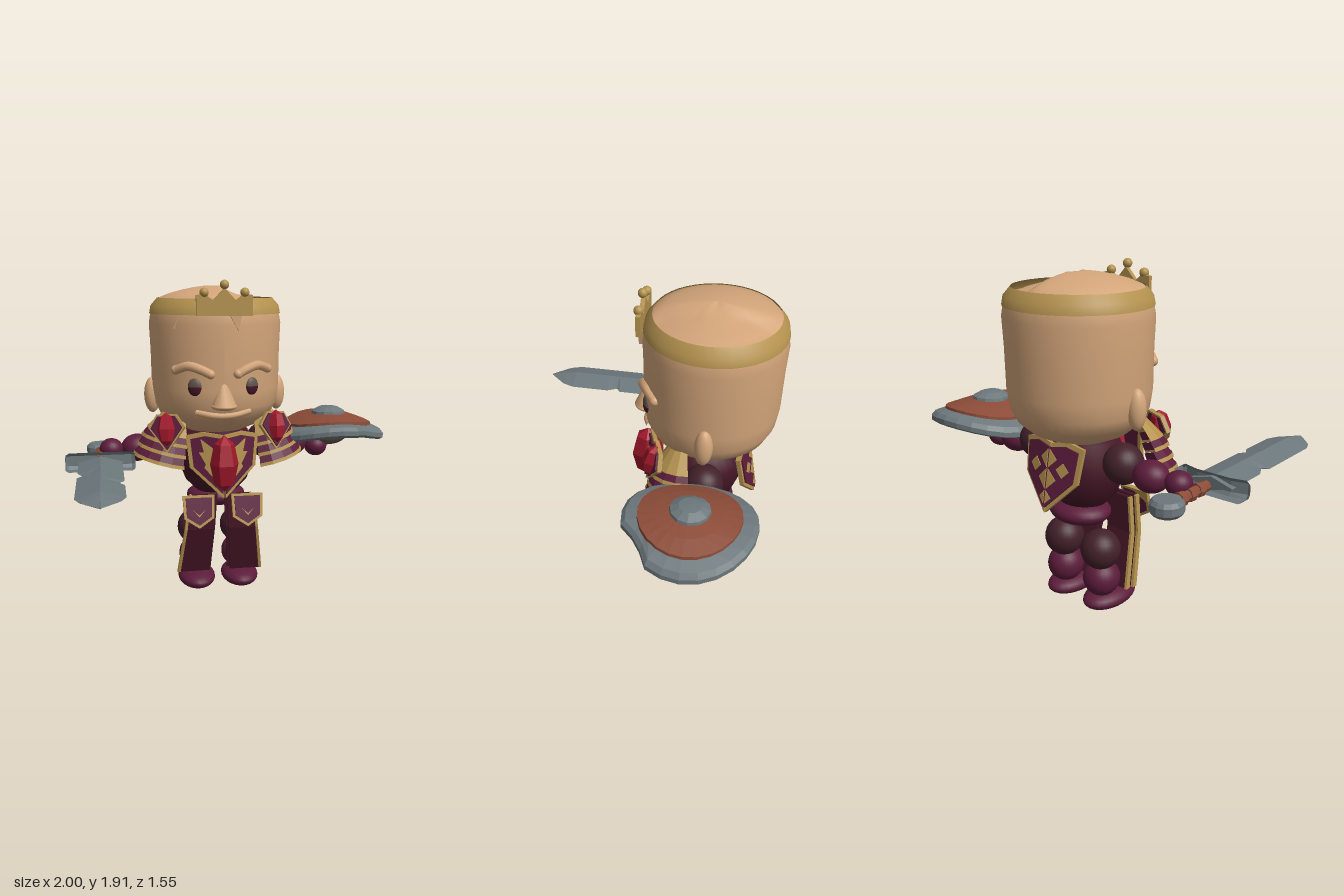
import * as THREE from 'three';

const mat = (name, color) => {
  const m = new THREE.MeshStandardMaterial({ color });
  m.name = name;
  return m;
};

export function createModel() {
  const skin = mat('skin', 0xd3a57a), gold = mat('gold', 0xb4924f), plum = mat('plum cloth', 0x5c1c3b),
    wine = mat('dark wine', 0x451626), umber = mat('umber cloth', 0x42202a), ruby = mat('ruby', 0xa3182c),
    steel = mat('steel', 0x6d787c), leather = mat('leather', 0x8c4c38), taupe = mat('taupe', 0x5f5148);

  const root = new THREE.Group();
  root.name = 'knight';
  const body = new THREE.Group();
  body.name = 'body';
  body.position.x = -0.08;
  root.add(body);

  const add = (parent, name, geo, material, x = 0, y = 0, z = 0) => {
    const m = new THREE.Mesh(geo, material);
    m.name = name;
    m.position.set(x, y, z);
    parent.add(m);
    return m;
  };
  const group = (parent, name, x, y, z) => {
    const g = new THREE.Group();
    g.name = name;
    g.position.set(x, y, z);
    parent.add(g);
    return g;
  };
  const flat = (g) => {
    const f = g.index ? g.toNonIndexed() : g;
    f.computeVertexNormals();
    return f;
  };
  const ball = (parent, name, m, x, y, z, rx, ry = rx, rz = rx) =>
    add(parent, name, new THREE.SphereGeometry(1, 24, 16).scale(rx, ry, rz), m, x, y, z);
  const lathe = (pts, seg = 32) => new THREE.LatheGeometry(pts.map((p) => new THREE.Vector2(...p)), seg);
  const slab = (pts, depth) => new THREE.ExtrudeGeometry(
    new THREE.Shape(pts.map((p) => new THREE.Vector2(...p))), { depth, bevelEnabled: false });
  const tube = (pts, r) => new THREE.TubeGeometry(
    new THREE.CatmullRomCurve3(pts.map((p) => new THREE.Vector3(...p))), 16, r, 8);
  const gem = (parent, x, y, z, a, b, c) =>
    add(parent, 'gem', flat(new THREE.SphereGeometry(1, 6, 4).scale(a, b, c)), ruby, x, y, z);

  // Joins equal-length section loops into a closed, flat-shaded solid
  const loft = (sections) => {
    const n = sections[0].length, idx = [], last = (sections.length - 1) * n;
    for (let i = 0; i < sections.length - 1; i++) for (let j = 0; j < n; j++) {
      const a = i * n + j, b = i * n + (j + 1) % n;
      idx.push(a, b, b + n, a, b + n, a + n);
    }
    for (let j = 1; j < n - 1; j++) idx.push(0, j + 1, j, last, last + j, last + j + 1);
    const g = new THREE.BufferGeometry();
    g.setAttribute('position', new THREE.Float32BufferAttribute(sections.flat(2), 3));
    g.setIndex(idx);
    return flat(g);
  };
  // Cloth-coloured plate on a slightly larger gold plate
  const trimmed = (parent, name, pts, cy, field = plum, k = 0.87) => {
    add(parent, name + 'Trim', slab(pts, 0.024), gold);
    add(parent, name, slab(pts.map(([x, y]) => [x * k, cy + (y - cy) * k]), 0.034), field);
  };

  // Head, with a stepped parting across the crown
  const headGeo = lathe([[0, 0.98], [0.15, 1.0], [0.26, 1.05], [0.33, 1.11], [0.365, 1.18], [0.38, 1.28], [0.383, 1.5],
    [0.39, 1.66], [0.38, 1.72], [0.37, 1.765], [0.33, 1.81], [0.27, 1.835], [0.2, 1.855], [0.13, 1.87], [0.06, 1.88], [0, 1.88]], 40);
  const hp = headGeo.attributes.position;
  for (let i = 0; i < hp.count; i++) {
    const x = hp.getX(i), y = hp.getY(i);
    if (y > 1.77) hp.setY(i, y - 0.04 * THREE.MathUtils.smoothstep(x, 0.02, 0.09));
    hp.setX(i, x * 1.03);
  }
  headGeo.computeVertexNormals();
  add(body, 'head', headGeo, skin, 0, 0, -0.39);

  // Crown band, front piece and beads
  const bandMat = gold.clone();
  bandMat.side = THREE.DoubleSide;
  add(body, 'crownBand', lathe([[0.387, 1.718], [0.378, 1.765], [0.34, 1.81]], 40).scale(1.03, 1, 1), bandMat, 0, 0, -0.39);
  add(body, 'crownFront', slab([[-0.16, 1.715], [0.16, 1.715], [0.16, 1.83], [0.115, 1.84], [0.065, 1.8],
    [0, 1.87], [-0.065, 1.8], [-0.115, 1.84], [-0.16, 1.83]], 0.025), gold, 0, 0, -0.012);
  for (const [x, y] of [[-0.115, 1.845], [0, 1.888], [0.115, 1.845]]) ball(body, 'crownBead', gold, x, y, 0.005, 0.026);
  // Forelock edges beneath the crown
  add(body, 'forelock', slab([[-0.29, 1.64], [-0.05, 1.68], [-0.05, 1.72], [-0.25, 1.72]], 0.03), skin, 0, 0, -0.035)
    .rotation.y = -0.35;
  add(body, 'forelockPoint', slab([[0.03, 1.72], [0.08, 1.63], [0.1, 1.72]], 0.04), skin, 0, 0, -0.03);

  // Face
  const nose = add(body, 'nose', new THREE.ConeGeometry(0.075, 0.19, 12), skin, 0, 1.29, -0.03);
  nose.rotation.x = -0.05;
  ball(body, 'noseTip', skin, 0, 1.197, -0.026, 0.076, 0.025, 0.074);
  add(body, 'mouth', tube([[-0.16, 1.16, -0.066], [-0.07, 1.143, -0.035], [0, 1.138, -0.03], [0.07, 1.143, -0.035],
    [0.16, 1.16, -0.066]], 0.018), skin);

  for (const s of [-1, 1]) {
    const eye = group(body, 'eye', s * 0.167, 1.31, -0.05);
    eye.rotation.y = s * 0.42;
    add(eye, 'upperEye', new THREE.SphereGeometry(1, 20, 8, 0, Math.PI * 2, 0, Math.PI / 2).scale(0.042, 0.052, 0.02), taupe);
    add(eye, 'lowerEye', new THREE.SphereGeometry(1, 20, 8, 0, Math.PI * 2, Math.PI / 2, Math.PI / 2).scale(0.042, 0.052, 0.02), wine);
    const brow = [[0.08, 1.385, -0.012], [0.13, 1.41, -0.025], [0.2, 1.43, -0.055], [0.27, 1.405, -0.11]].map(([x, y, z]) => [s * x, y, z]);
    add(body, 'eyebrow', tube(brow, 0.027), skin);
    for (const p of [brow[0], brow[3]]) ball(body, 'browEnd', skin, ...p, 0.027);
    ball(body, 'ear', skin, s * 0.39, 1.225, -0.395, 0.05, 0.11, 0.05);

    // Limbs of separate rounded segments
    ball(body, 'upperArm', umber, s * 0.31, 0.92, -0.4, 0.11);
    ball(body, 'forearm', plum, s * 0.49, 0.895, -0.4, 0.1, 0.085, 0.09);
    ball(body, 'hand', plum, s * 0.65, s < 0 ? 0.895 : 0.87, -0.385, 0.072, 0.065, 0.072);
    ball(body, 'thigh', umber, s * 0.137, 0.37, -0.387, 0.112, 0.113, 0.113);
    ball(body, 'shin', plum, s * 0.137, 0.195, -0.38, 0.104, 0.105, 0.107);
    ball(body, 'foot', plum, s * 0.138, 0.064, -0.315, 0.116, 0.06, 0.185);

    // Long hanging flap in two layers with gold edging
    const strip = (name, m, a, b, dz, t) => add(body, name, loft([
      [0.12, -0.235, 0.265, 0.065], [0.42, -0.145, 0.225, 0.045], [0.63, -0.135, 0.2, 0.03]].map(([y, z, o, n]) => {
      const xs = [s * (n + (o - n) * a), s * (n + (o - n) * b)].sort((p, q) => p - q);
      return [[xs[0], y, z + dz], [xs[1], y, z + dz], [xs[1], y, z + dz - t], [xs[0], y, z + dz - t]];
    })), m);
    strip('flap', wine, 0, 0.97, 0, 0.02);
    strip('flapTrim', gold, 0.92, 1.01, 0.006, 0.03);
    strip('rearFlap', wine, -0.06, 0.9, -0.045, 0.02);
    strip('rearFlapTrim', gold, 0.87, 0.95, -0.04, 0.03);

    // Hip badge
    const badge = group(body, 'hipBadge', s * 0.147, 0.55, -0.09);
    badge.rotation.x = -0.25;
    trimmed(badge, 'badgePlate', [[-0.095, 0.1], [0.095, 0.1], [0.09, -0.04], [0, -0.1], [-0.09, -0.04]], 0.01, plum, 0.83);
    add(badge, 'chevron', slab([[-0.04, 0.035], [0, 0.0], [0.04, 0.035], [0, -0.012]], 0.004), gold, 0, -0.02, 0.034);

    // Folded halves of the chest and back plates
    const half = [[0, 1.02], [0.12, 1.04], [0.22, 1.02], [0.2, 0.83], [0, 0.645]].map(([x, y]) => [s * x, y - 0.85]);
    const chest = group(body, 'chestHalf', 0, 0.85, -0.055);
    chest.rotation.set(-0.08, s * 0.3, 0);
    trimmed(chest, 'chestPlate', half, 0.01);
    add(chest, 'flame', slab([[0, 0.11], [0.05, 0.09], [0.13, 0.15], [0.11, 0.07], [0.14, 0.07], [0.1, 0.0], [0.11, -0.02],
      [0, -0.14]].map(([x, y]) => [s * x, y]), 0.005), gold, 0, 0, 0.034);
    const back = group(body, 'backHalf', 0, 0.85, -0.62);
    back.rotation.set(0.18, Math.PI + s * 0.15, 0);
    trimmed(back, 'backPlate', half.map(([x, y]) => [x * 0.9, y]), 0.01);
    for (const [x, y, r] of [[0, 0.09, 0.05], [0, -0.02, 0.055], [0.09, 0.04, 0.04], [0, -0.12, 0.035]]) {
      const d = [[x, y + r], [x + r, y], [x, y - r]].concat(x ? [[x - r, y]] : []);
      add(back, 'backDiamond', slab(d.map(([u, v]) => [s * u, v]), 0.004), gold, 0, 0, 0.034);
    }

    // Shoulder guard: gold cap, three overlapping bands, jewelled plate
    const guard = group(body, 'shoulderGuard', s * 0.29, 0.95, -0.28);
    guard.rotation.z = s * 0.25;
    const sector = (name, m, r0, r1, y0, y1) => {
      const mm = m.clone();
      mm.side = THREE.DoubleSide;
      const len = 2.3, start = s > 0 ? -0.45 : 0.45 - len;
      add(guard, name, flat(new THREE.CylinderGeometry(r0, r1, y0 - y1, 6, 1, true, start, len)), mm, 0, (y0 + y1) / 2, 0);
    };
    sector('shoulderCap', gold, 0.09, 0.165, 0.17, 0.06);
    for (let i = 0; i < 3; i++) {
      const y = 0.07 - i * 0.062, r = 0.155 + i * 0.012;
      sector('shoulderBand', plum, r, r + 0.025, y, y - 0.05);
      sector('shoulderBandTrim', gold, r + 0.027, r + 0.033, y - 0.045, y - 0.065);
    }
    const jewel = group(body, 'shoulderJewel', s * 0.32, 1.04, -0.14);
    jewel.rotation.set(-0.2, s * 0.35, 0);
    trimmed(jewel, 'jewelPlate', [[-0.11, 0.02], [-0.06, 0.1], [0.06, 0.1], [0.11, 0.02], [0, -0.13]], 0.01);
    gem(jewel, 0, 0.01, 0.03, 0.055, 0.1, 0.06);
  }
  gem(body, 0, 0.855, -0.03, 0.085, 0.17, 0.1);

  // Torso and hips
  add(body, 'torso', lathe([[0, 0.61], [0.12, 0.62], [0.185, 0.69], [0.225, 0.8], [0.23, 0.9], [0.19, 1.0], [0, 1.06]])
    .scale(1.05, 1, 0.98), wine, 0, 0, -0.37);
  ball(body, 'hips', plum, 0, 0.58, -0.4, 0.185, 0.073, 0.155);

  // Sword: notched diamond-section blade, guard, grip and pommel
  const sword = group(root, 'sword', -0.797, 0.855, 0);
  add(sword, 'blade', loft([[-0.2, -0.128, 0.128], [0.05, -0.128, 0.128], [0.07, -0.128, 0.128], [0.15, -0.09, 0.128],
    [0.17, -0.128, 0.128], [0.275, -0.128, 0.128], [0.3, -0.128, 0.095], [0.36, -0.128, 0.128], [0.6, -0.128, 0.128],
    [0.67, -0.1, 0.1], [0.772, -0.006, 0.006]].map(([z, l, r]) => {
    const h = z > 0.7 ? 0.004 : z > 0.65 ? 0.025 : 0.036;
    return [[r, 0, z], [0, h, z], [l, 0, z], [0, -h, z]];
  })), steel);
  add(sword, 'guard', loft([[-0.203, 0.04, 0.045, -0.2], [-0.185, 0.05, 0.055, -0.2], [-0.1, 0.05, 0.042, -0.213],
    [0.1, 0.05, 0.042, -0.213], [0.185, 0.05, 0.055, -0.2], [0.203, 0.04, 0.045, -0.2]].map(([x, h, d, z]) =>
    [[x, h, z + d * 0.7], [x, h * 0.6, z + d], [x, -h * 0.6, z + d], [x, -h, z + d * 0.7],
      [x, -h, z - d * 0.7], [x, -h * 0.6, z - d], [x, h * 0.6, z - d], [x, h, z - d * 0.7]].reverse())), steel);
  add(sword, 'grip', flat(new THREE.CylinderGeometry(0.03, 0.03, 0.26, 8)), leather, 0, 0, -0.37).rotation.x = Math.PI / 2;
  for (let i = 0; i < 3; i++) {
    const wrap = add(sword, 'gripWrap', flat(new THREE.CylinderGeometry(0.038, 0.038, 0.035, 8)), leather, 0, 0, -0.46 + i * 0.075);
    wrap.rotation.set(Math.PI / 2, 0, 0.15);
  }
  add(sword, 'pommel', flat(lathe([[0, -0.04], [0.07, -0.04], [0.087, -0.02], [0.087, 0.02], [0.07, 0.04], [0, 0.04]], 14)),
    steel, 0, 0, -0.573);

  // Round shield, bent across its width, with a nick in the rim
  const shield = group(root, 'shield', 0.65, 0.98, -0.38);
  const bent = (name, pts, m, seg) => {
    const g = lathe(pts, seg), p = g.attributes.position;
    for (let i = 0; i < p.count; i++) {
      const x = p.getX(i), z = p.getZ(i), a = Math.atan2(z, x);
      const k = Math.hypot(x, z) > 0.29 && a > 0.75 && a < 1.1 ? 0.88 : 1;
      p.setXYZ(i, x * k, p.getY(i) - 0.6 * x * x, z * k);
    }
    add(shield, name, flat(g), m);
  };
  bent('shieldRim', [[0, 0.02], [0.12, 0.018], [0.24, 0.01], [0.33, 0], [0.352, 0.018], [0.352, 0.045], [0.33, 0.065], [0.25, 0.075]], steel, 24);
  bent('shieldFace', [[0.272, 0.05], [0.268, 0.088], [0.18, 0.1], [0.09, 0.108], [0, 0.11]], leather, 24);
  bent('shieldBoss', [[0.112, 0.09], [0.105, 0.122], [0.06, 0.143], [0, 0.147]], steel, 12);
  ball(shield, 'shieldHandle', taupe, 0.0, -0.03, 0, 0.13, 0.075, 0.07);

  // Share one material per colour, double sided where surfaces are open
  gold.side = plum.side = THREE.DoubleSide;
  root.traverse((o) => {
    if (!o.isMesh) return;
    if (o.material.name === 'gold') o.material = gold;
    if (o.material.name === 'plum cloth') o.material = plum;
  });
  return root;
}
